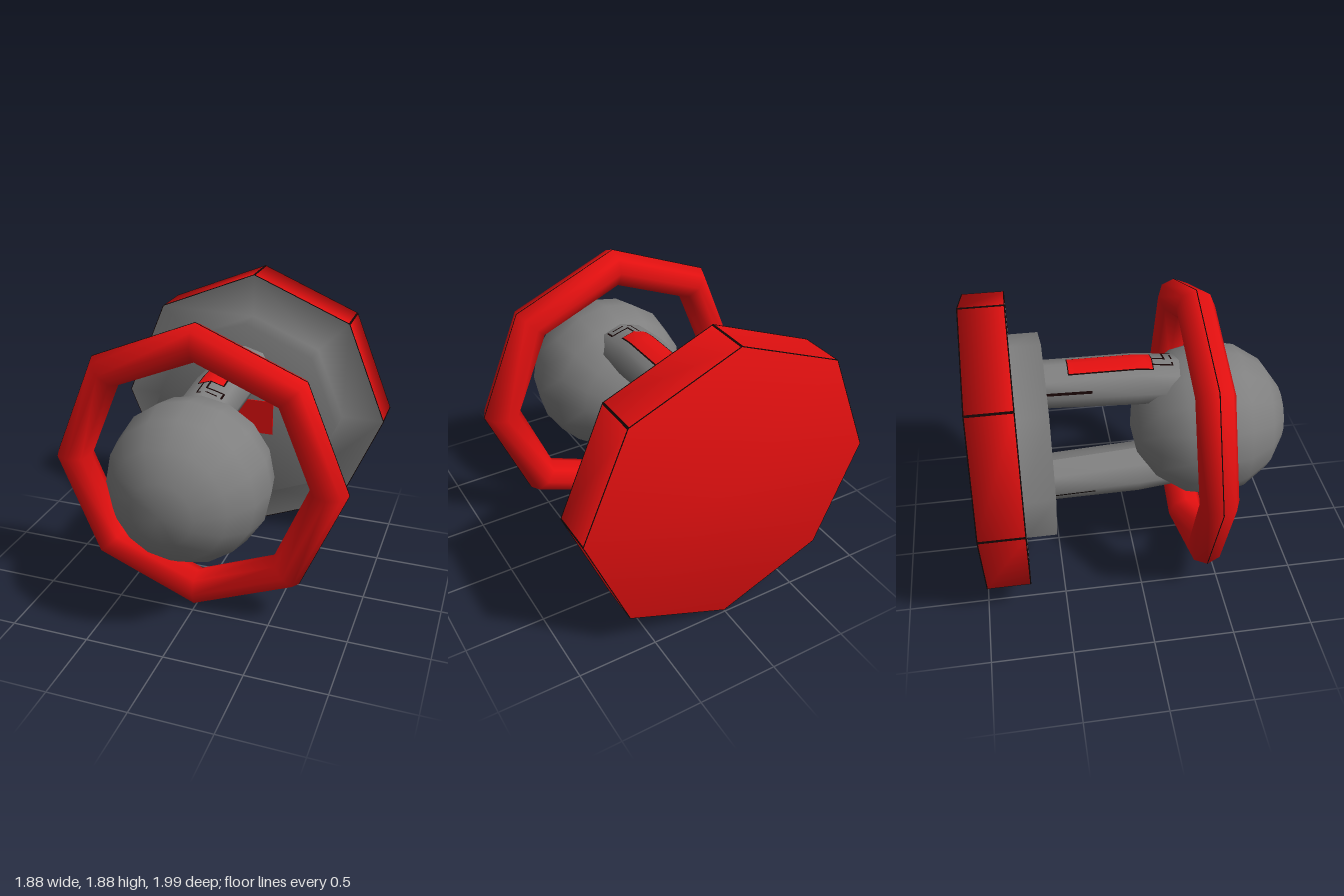
import * as THREE from 'three';

const red = new THREE.MeshStandardMaterial({ color: 0xe51010 });
red.name = 'red';
const grey = new THREE.MeshStandardMaterial({ color: 0x808080 });
grey.name = 'grey';
const black = new THREE.MeshStandardMaterial({ color: 0x140404 });
black.name = 'black';

const R = 0.935; // outer radius of the octagons
const W = 0.18; // half width of a strut
const K = Math.SQRT1_2;

function add(parent, name, geometry, material, x = 0, y = 0, z = 0) {
  const mesh = new THREE.Mesh(geometry, material);
  mesh.name = name;
  mesh.position.set(x, y, z);
  parent.add(mesh);
  return mesh;
}

// Cross-sections of a strut along its length: z, outer edge, inner edge
const sections = [[-0.56, 0.5, 0.24], [0.04, 0.5, 0.2], [0.28, 0.465, 0.2], [0.4, 0.44, 0.2]];

function edgesAt(z) {
  let i = 0;
  while (i < sections.length - 2 && z > sections[i + 1][0]) i++;
  const [a, b] = [sections[i], sections[i + 1]];
  const t = (z - a[0]) / (b[0] - a[0]);
  return [1, 2].map((k) => THREE.MathUtils.lerp(a[k], b[k], t));
}

// Height of the strut's upper octagonal surface
function strutTop(x, z) {
  const [top, bottom] = edgesAt(z);
  const u = Math.abs(x) / W;
  const v = u < K ? 1 - (1 - K) * u / K : K * (1 - u) / (1 - K);
  return (top + bottom) / 2 + v * (top - bottom) / 2;
}

function strutGeometry() {
  const g = new THREE.CylinderGeometry(1, 1, 1, 8, 3, true);
  g.rotateX(Math.PI / 2);
  const p = g.attributes.position;
  for (let i = 0; i < p.count; i++) {
    const [z, top, bottom] = sections[Math.round((p.getZ(i) + 0.5) * 3)];
    p.setXYZ(i, p.getX(i) * W, (top + bottom) / 2 + p.getY(i) * (top - bottom) / 2, z);
  }
  g.computeVertexNormals();
  return g;
}

// Thin patch lying on the strut between two corners in x and z
function patch(parent, name, material, x0, z0, x1, z1) {
  const g = new THREE.PlaneGeometry(x1 - x0, z1 - z0, 2, 12);
  g.rotateX(-Math.PI / 2);
  g.translate((x0 + x1) / 2, 0, (z0 + z1) / 2);
  const p = g.attributes.position;
  for (let i = 0; i < p.count; i++) p.setY(i, strutTop(p.getX(i), p.getZ(i)) + 0.004);
  g.computeVertexNormals();
  add(parent, name, g, material);
}

function strut(name) {
  const group = new THREE.Group();
  group.name = name;
  add(group, 'strutBody', strutGeometry(), grey);
  patch(group, 'strutPanelBorder', black, -0.088, -0.386, 0.084, 0.136);
  const border = group.children[1];
  border.position.y = -0.002;
  patch(group, 'strutPanel', red, -0.08, -0.38, 0.076, 0.13);
  // Fine stepped grooves in front of the panel
  const grooves = [
    [-0.006, 0.136, 0.006, 0.215], [-0.006, 0.205, 0.115, 0.217], [0.103, 0.217, 0.115, 0.27],
    [-0.052, 0.136, -0.042, 0.262], [-0.052, 0.252, 0.08, 0.262],
  ];
  for (const q of grooves) patch(group, 'groove', black, ...q);
  for (const s of [-1, 1]) patch(group, 'sideGroove', black, s * 0.165 - 0.004, -0.53, s * 0.165 + 0.004, -0.25);
  return group;
}

// Octagonal solid turned around the z axis from [radius, z] points
function octagon(points) {
  const g = new THREE.LatheGeometry(points.map(([r, z]) => new THREE.Vector2(r, z)), 8);
  g.rotateX(Math.PI / 2);
  return g;
}

export function createModel() {
  const model = new THREE.Group();
  model.name = 'model';
  const body = new THREE.Group();
  body.name = 'body';
  body.position.y = 0.94;
  model.add(body);

  // Ball and the ring around it
  const ball = new THREE.SphereGeometry(0.5, 16, 8);
  ball.rotateX(Math.PI / 2);
  add(body, 'ball', ball, grey, 0, 0, 0.5);
  add(body, 'ring', new THREE.TorusGeometry(0.818, 0.117, 8, 8), red, 0, 0, 0.395);
  add(body, 'ringSeam', new THREE.TorusGeometry(R - 0.001, 0.003, 4, 8), black, 0, 0, 0.395);

  // Back plate: red shell with a grey stepped front
  add(body, 'backShell', octagon([[0, -0.99], [R, -0.99], [R, -0.72]]), red);
  add(body, 'backFront', octagon([[R, -0.72], [0.65, -0.72], [0.65, -0.53], [0, -0.53]]), grey);
  add(body, 'frontPanel', new THREE.BoxGeometry(0.42, 0.24, 0.008), red, 0, 0, -0.528);

  // Dark seams along the rim and its corners
  for (const z of [-0.722, -0.988]) {
    add(body, 'rimSeam', new THREE.TorusGeometry(R - 0.001, 0.004, 4, 8), black, 0, 0, z);
  }
  for (let i = 0; i < 8; i++) {
    const a = i * Math.PI / 4;
    const seam = new THREE.BoxGeometry(0.006, 0.014, 0.266);
    add(body, 'cornerSeam', seam, black, Math.cos(a) * (R - 0.003), Math.sin(a) * (R - 0.003), -0.855).rotation.z = a;
  }

  // Struts joining the ball to the plate
  const lower = strut('lowerStrut');
  lower.rotation.z = Math.PI;
  body.add(strut('upperStrut'), lower);
  return model;
}
